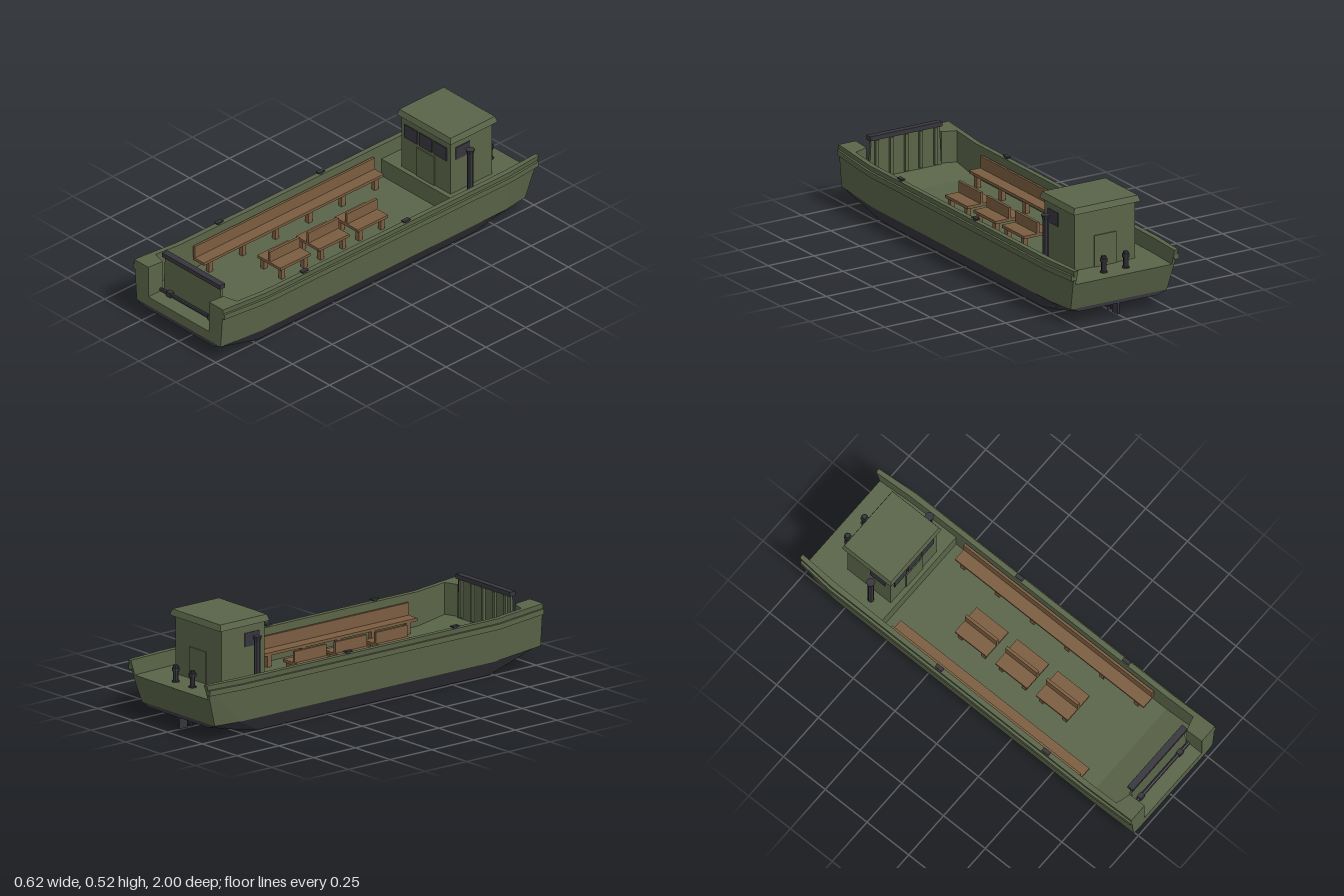
import * as THREE from 'three';

const mat = (name, color) => {
  const m = new THREE.MeshStandardMaterial({ color });
  m.name = name;
  return m;
};

// Solid skinned over closed rings of [x, y, z], counter-clockwise seen from +z, bow to stern.
function loft(rings) {
  const pos = [];
  const tri = (...pts) => {
    const [a, b, c] = pts.map((p) => new THREE.Vector3(...p));
    if (b.clone().sub(a).cross(c.clone().sub(a)).length() > 1e-8) pts.forEach((p) => pos.push(...p));
  };
  const n = rings[0].length;
  for (let i = 0; i < rings.length - 1; i++) {
    for (let j = 0; j < n; j++) {
      const k = (j + 1) % n, p = rings[i], q = rings[i + 1];
      tri(p[j], q[j], p[k]);
      tri(p[k], q[j], q[k]);
    }
  }
  const cap = (r, flip) => {
    const flat = r.map((p) => new THREE.Vector2(p[0], p[1]));
    for (const [a, b, c] of THREE.ShapeUtils.triangulateShape(flat, [])) {
      if (flip) tri(r[a], r[c], r[b]); else tri(r[a], r[b], r[c]);
    }
  };
  cap(rings[0], false);
  cap(rings[rings.length - 1], true);
  const g = new THREE.BufferGeometry();
  g.setAttribute('position', new THREE.Float32BufferAttribute(pos, 3));
  g.computeVertexNormals();
  return g;
}

const mirrorRing = (half) => [...half, ...half.map(([x, y, z]) => [-x, y, z]).reverse()];

export function createModel() {
  const boat = new THREE.Group();
  boat.name = 'landingBoat';
  const green = mat('olive paint', 0x5a6448);
  const dark = mat('dark metal', 0x36353d);
  const wood = mat('bench wood', 0x7b5d40);
  green.flatShading = dark.flatShading = wood.flatShading = true;

  const add = (name, geo, m, x = 0, y = 0, z = 0, parent = boat) => {
    const mesh = new THREE.Mesh(geo, m);
    mesh.name = name;
    mesh.position.set(x, y, z);
    parent.add(mesh);
    return mesh;
  };
  // Box given by its lower and upper corners
  const box = (name, m, [x0, x1], [y0, y1], [z0, z1], parent = boat) =>
    add(name, new THREE.BoxGeometry(x1 - x0, y1 - y0, z1 - z0), m,
      (x0 + x1) / 2, (y0 + y1) / 2, (z0 + z1) / 2, parent);
  const cyl = (name, m, rTop, rBottom, y0, y1, x, z, parent = boat) =>
    add(name, new THREE.CylinderGeometry(rTop, rBottom, y1 - y0, 8), m, x, (y0 + y1) / 2, z, parent);

  // Topsides, bulwarks and decks: z, sheer y, outer, inner, floor y, chine half width, chine y
  const stations = [
    [1, 0.308, 0.3, 0.205, 0.148, 0.283, 0.1],
    [0.91, 0.301, 0.3, 0.205, 0.148, 0.282, 0.092],
    [0.89, 0.299, 0.3, 0.275, 0.146, 0.282, 0.09],
    [0.73, 0.285, 0.3, 0.275, 0.12, 0.28, 0.075],
    [-0.53, 0.285, 0.3, 0.275, 0.12, 0.28, 0.075],
    [-0.53, 0.285, 0.3, 0.275, 0.21, 0.28, 0.075],
    [-0.8, 0.285, 0.3, 0.272, 0.21, 0.28, 0.075],
    [-1, 0.285, 0.284, 0.262, 0.21, 0.262, 0.075],
  ];
  const rake = (z, y) => (z === -1 ? -0.935 - (y - 0.075) * 0.31 : z);
  add('hullTopsides', loft(stations.map(([z, sheer, out, inn, floor, chine, cy]) => mirrorRing([
    [chine, cy, rake(z, cy)], [out, sheer, rake(z, sheer)],
    [inn, sheer, rake(z, sheer)], [inn, floor, rake(z, floor)],
  ]))), green);

  // Dark underbody: z, bottom half width, bottom y, chine half width, chine y
  const keel = [
    [1, 0.235, 0.08, 0.283, 0.1],
    [0.73, 0.235, 0, 0.28, 0.075],
    [-0.65, 0.235, 0, 0.28, 0.075],
    [-0.8, 0.23, 0.028, 0.28, 0.075],
    [-0.935, 0.215, 0.058, 0.262, 0.075],
  ];
  add('hullBottom', loft(keel.map(([z, b, by, c, cy]) => mirrorRing([[b, by, z], [c, cy, z]]))), dark);

  // Rub rails
  const rail = [[1, 0.308, 0.258], [0.73, 0.31, 0.235], [-0.8, 0.31, 0.235], [-0.99, 0.293, 0.235]];
  for (const s of [1, -1]) {
    add('rubRail', loft(rail.map(([z, x, y]) => {
      const r = [[x - 0.025, y, z], [x, y, z], [x, y + 0.026, z], [x - 0.025, y + 0.026, z]];
      return s > 0 ? r : r.map(([a, b, c]) => [-a, b, c]).reverse();
    })), green);
  }

  // Bow ramp with ribs, top bar and hinge
  const ramp = new THREE.Group();
  ramp.name = 'bowRamp';
  boat.add(ramp);
  const plate = new THREE.Shape([[-0.196, 0.148], [0.196, 0.148], [0.187, 0.338], [-0.187, 0.338]]
    .map((p) => new THREE.Vector2(...p)));
  add('rampPlate', new THREE.ExtrudeGeometry(plate, { depth: 0.014, bevelEnabled: false }), green, 0, 0, 0.898, ramp);
  for (let i = 0; i < 5; i++) {
    const x = -0.16 + i * 0.08;
    box('rampRib', green, [x - 0.008, x + 0.008], [0.155, 0.335], [0.885, 0.899], ramp);
  }
  box('rampTopBar', dark, [-0.196, 0.196], [0.336, 0.358], [0.89, 0.922], ramp);
  const pin = add('hingePin', new THREE.CylinderGeometry(0.009, 0.009, 0.408, 8), dark, 0, 0.157, 0.922, ramp);
  pin.rotation.z = Math.PI / 2;
  for (const x of [-0.14, 0.14]) {
    box('hingeBracket', dark, [x - 0.014, x + 0.014], [0.147, 0.173], [0.91, 0.935], ramp);
  }

  // Long side benches
  for (const s of [1, -1]) {
    const bench = new THREE.Group();
    bench.name = 'sideBench';
    boat.add(bench);
    add('seat', new THREE.BoxGeometry(0.07, 0.014, 1.13), wood, s * 0.23, 0.183, 0.095, bench);
    add('backrest', new THREE.BoxGeometry(0.012, 0.06, 1.13), wood, s * 0.262, 0.22, 0.095, bench);
    for (let i = 0; i < 6; i++) {
      add('leg', new THREE.BoxGeometry(0.022, 0.058, 0.024), wood, s * 0.211, 0.148, -0.43 + i * 0.208, bench);
    }
  }

  // Centre benches, back to back
  for (const z of [-0.148, 0.095, 0.338]) {
    const bench = new THREE.Group();
    bench.name = 'centreBench';
    bench.position.z = z;
    boat.add(bench);
    add('seat', new THREE.BoxGeometry(0.156, 0.014, 0.19), wood, 0, 0.183, 0, bench);
    add('backrest', new THREE.BoxGeometry(0.014, 0.055, 0.19), wood, 0, 0.217, 0, bench);
    for (const x of [-0.06, 0.06]) for (const dz of [-0.07, 0.07]) {
      add('leg', new THREE.BoxGeometry(0.022, 0.058, 0.022), wood, x, 0.148, dz, bench);
    }
  }

  // Wheelhouse
  const cabin = new THREE.Group();
  cabin.name = 'wheelhouse';
  boat.add(cabin);
  box('walls', green, [-0.165, 0.165], [0.208, 0.492], [-0.815, -0.555], cabin);
  const roofRing = (z, taper) => [
    [0.182, 0.49, z], [0.173, 0.52, z + taper], [-0.173, 0.52, z + taper], [-0.182, 0.49, z]];
  add('roof', loft([roofRing(-0.54, -0.008), roofRing(-0.835, 0.008)]), green, 0, 0, 0, cabin);
  for (const x of [-0.099, -0.001, 0.097]) {
    add('frontWindow', new THREE.BoxGeometry(0.086, 0.07, 0.008), dark, x, 0.415, -0.554, cabin);
  }
  for (const s of [1, -1]) {
    add('sideWindow', new THREE.BoxGeometry(0.008, 0.066, 0.088), dark, s * 0.165, 0.417, -0.631, cabin);
  }
  for (const z of [-0.554, -0.816]) {
    add('door', new THREE.BoxGeometry(0.12, 0.153, 0.009), green, 0, 0.2865, z, cabin);
  }

  // Exhaust stacks
  for (const x of [-0.21, 0.21]) {
    cyl('exhaustPipe', dark, 0.015, 0.015, 0.208, 0.416, x, -0.637);
    cyl('exhaustCap', dark, 0.022, 0.015, 0.416, 0.44, x, -0.637);
  }

  // Stern bollards
  for (const x of [-0.06, 0.06]) {
    cyl('bollardBase', dark, 0.018, 0.018, 0.208, 0.216, x, -0.9);
    cyl('bollardPost', dark, 0.012, 0.012, 0.216, 0.29, x, -0.9);
    cyl('bollardCollar', dark, 0.018, 0.018, 0.262, 0.278, x, -0.9);
  }

  // Bulwark cleats
  for (const s of [1, -1]) for (const z of [-0.16, 0.48]) {
    add('cleatBase', new THREE.BoxGeometry(0.014, 0.01, 0.018), dark, s * 0.288, 0.288, z);
    add('cleatHorns', new THREE.BoxGeometry(0.02, 0.006, 0.04), dark, s * 0.288, 0.295, z);
  }

  // Rudder, shaft and propeller
  box('rudder', dark, [-0.006, 0.006], [0.003, 0.07], [-0.932, -0.885]);
  const shaft = add('propellerShaft', new THREE.CylinderGeometry(0.006, 0.006, 0.13, 8), dark, 0, 0.022, -0.81);
  shaft.rotation.x = Math.PI / 2;
  for (let i = 0; i < 3; i++) {
    const a = (i * Math.PI * 2) / 3;
    const blade = add('propellerBlade', new THREE.BoxGeometry(0.014, 0.02, 0.004), dark,
      -Math.sin(a) * 0.011, 0.022 + Math.cos(a) * 0.011, -0.866);
    blade.rotation.z = a;
  }
  return boat;
}
